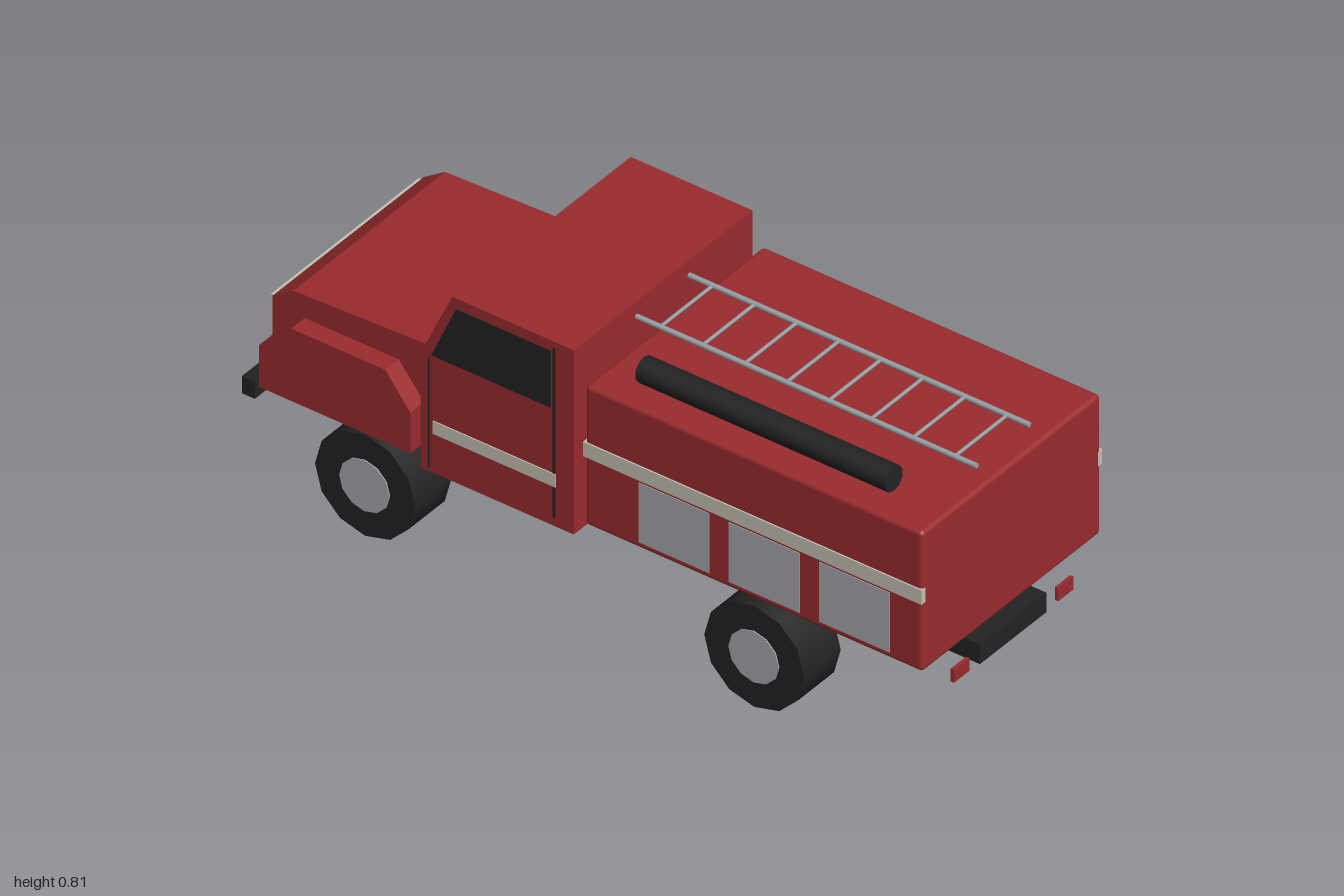
import * as THREE from 'three';
import { RoundedBoxGeometry } from 'three/addons/geometries/RoundedBoxGeometry.js';

const material = (name, color) => {
  const m = new THREE.MeshStandardMaterial({ color });
  m.name = name;
  return m;
};

export function createModel() {
  const red = material('red paint', 0x9a2b2e);
  const black = material('black rubber', 0x232323);
  const cream = material('cream trim', 0xc6c1b4);
  const grey = material('grey metal', 0xa6a8ae);
  const steel = material('ladder steel', 0x9aa2a6);

  const truck = new THREE.Group();
  truck.name = 'fireTruck';
  const CX = -0.03; // centre line of the truck
  const HALF = 0.35; // half its width

  const add = (name, geometry, mat) => {
    const mesh = new THREE.Mesh(geometry, mat);
    mesh.name = name;
    truck.add(mesh);
    return mesh;
  };
  // Box given by its limits on each axis
  const box = (name, mat, x0, x1, y0, y1, z0, z1) =>
    add(name, new THREE.BoxGeometry(x1 - x0, y1 - y0, z1 - z0), mat)
      .position.set((x0 + x1) / 2, (y0 + y1) / 2, (z0 + z1) / 2);
  // Side profile of [z, y] points, extruded across x
  const profile = (name, mat, points, x0, x1) => {
    const shape = new THREE.Shape(points.map(([z, y]) => new THREE.Vector2(-z, y)));
    const g = new THREE.ExtrudeGeometry(shape, { depth: x1 - x0, bevelEnabled: false });
    add(name, g.rotateY(Math.PI / 2), mat).position.x = x0;
  };
  // Runs a builder for both sides; span(a, b) gives x limits measured from the centre line
  const bothSides = (build) => {
    for (const s of [-1, 1]) {
      const span = (a, b) => (s > 0 ? [CX + a, CX + b] : [CX - b, CX - a]);
      build(span, s);
    }
  };
  // Cylinder lying along z or x
  const rod = (name, mat, r, length, sides, axis, x, y, z) => {
    const g = new THREE.CylinderGeometry(r, r, length, sides);
    if (axis === 'z') g.rotateX(Math.PI / 2);
    else g.rotateZ(Math.PI / 2);
    add(name, g, mat).position.set(x, y, z);
  };

  // Chassis and rear body
  box('chassis', black, -0.16, 0.1, 0.213, 0.27, -0.525, 0.998);
  add('rearBody', new RoundedBoxGeometry(0.7, 0.405, 0.992, 2, 0.012), red)
    .position.set(CX, 0.515, 0.498);

  // Cab, hood
  profile('cab', red, [[-0.03, 0.27], [-0.03, 0.805], [-0.387, 0.805], [-0.48, 0.6], [-0.48, 0.27]],
    CX - HALF, CX + HALF);
  profile('hood', red, [[-0.47, 0.297], [-0.47, 0.588], [-0.893, 0.572], [-0.955, 0.53], [-0.955, 0.297]],
    CX - 0.297, CX + 0.297);

  bothSides((span) => {
    // Fender with sloped ends
    profile('fender', red, [[-0.51, 0.297], [-0.51, 0.415], [-0.583, 0.507], [-0.86, 0.507],
      [-0.955, 0.417], [-0.955, 0.297]], ...span(0.29, HALF));
    // Door trim
    profile('sideWindow', black, [[-0.097, 0.61], [-0.097, 0.775], [-0.375, 0.775], [-0.447, 0.61]],
      ...span(HALF - 0.003, HALF + 0.002));
    box('rearDoorSeam', black, ...span(HALF - 0.003, HALF + 0.001), 0.295, 0.785, -0.091, -0.084);
    box('frontDoorSeam', black, ...span(HALF - 0.003, HALF + 0.001), 0.28, 0.6, -0.457, -0.453);
    box('cabStripe', cream, ...span(HALF - 0.003, HALF + 0.003), 0.385, 0.422, -0.442, -0.082);
    // Body stripe and locker shutters
    box('bodyStripe', cream, ...span(HALF - 0.012, HALF + 0.004), 0.513, 0.555, 0, 0.994);
    for (const z of [0.265, 0.53, 0.795])
      box('lockerShutter', grey, ...span(HALF - 0.003, HALF + 0.002), 0.332, 0.505, z - 0.104, z + 0.104);
    // Tail light
    box('tailLight', red, ...span(0.174, 0.234), 0.22, 0.257, 0.99, 1);
  });

  // Windshield plate lying on the slope of the cab
  profile('windshield', black, [[-0.431, 0.711], [-0.437, 0.714], [-0.486, 0.606], [-0.48, 0.603]],
    CX - 0.325, CX + 0.325);

  // Mirror
  box('mirror', black, 0.318, 0.385, 0.66, 0.732, -0.43, -0.415);

  // Grille, headlights and bumper
  box('grille', cream, CX - 0.29, CX + 0.29, 0.325, 0.528, -0.964, -0.95);
  for (let i = 0; i < 5; i++) {
    const y = 0.365 + i * 0.0325;
    box('grilleSlot', black, CX - 0.188, CX + 0.188, y - 0.009, y + 0.009, -0.967, -0.96);
  }
  for (const s of [-1, 1]) {
    const light = add('headlight', new THREE.CylinderGeometry(0.03, 0.03, 0.02, 12), cream);
    light.rotation.x = Math.PI / 2;
    light.position.set(CX + s * 0.245, 0.42, -0.963);
  }
  box('bumper', black, CX - 0.356, CX + 0.356, 0.262, 0.312, -1, -0.962);

  // Wheels with hubs on the outside
  for (const z of [-0.643, 0.5])
    for (const s of [-1, 1]) {
      rod('tire', black, 0.147, 0.143, 12, 'x', CX + s * 0.2785, 0.147, z);
      rod('hub', grey, 0.074, 0.02, 12, 'x', CX + s * 0.343, 0.147, z);
    }

  // Ladder on the roof
  for (const x of [-0.134, 0.072]) rod('ladderRail', steel, 0.007, 1, 8, 'z', x, 0.761, 0.47);
  for (let i = 0; i < 8; i++) rod('ladderRung', steel, 0.005, 0.206, 6, 'x', -0.031, 0.761, 0.04 + i * 0.1235);

  // Hose tube on the roof
  rod('hoseTube', black, 0.035, 0.735, 10, 'z', -0.293, 0.762, 0.478);

  return truck;
}
